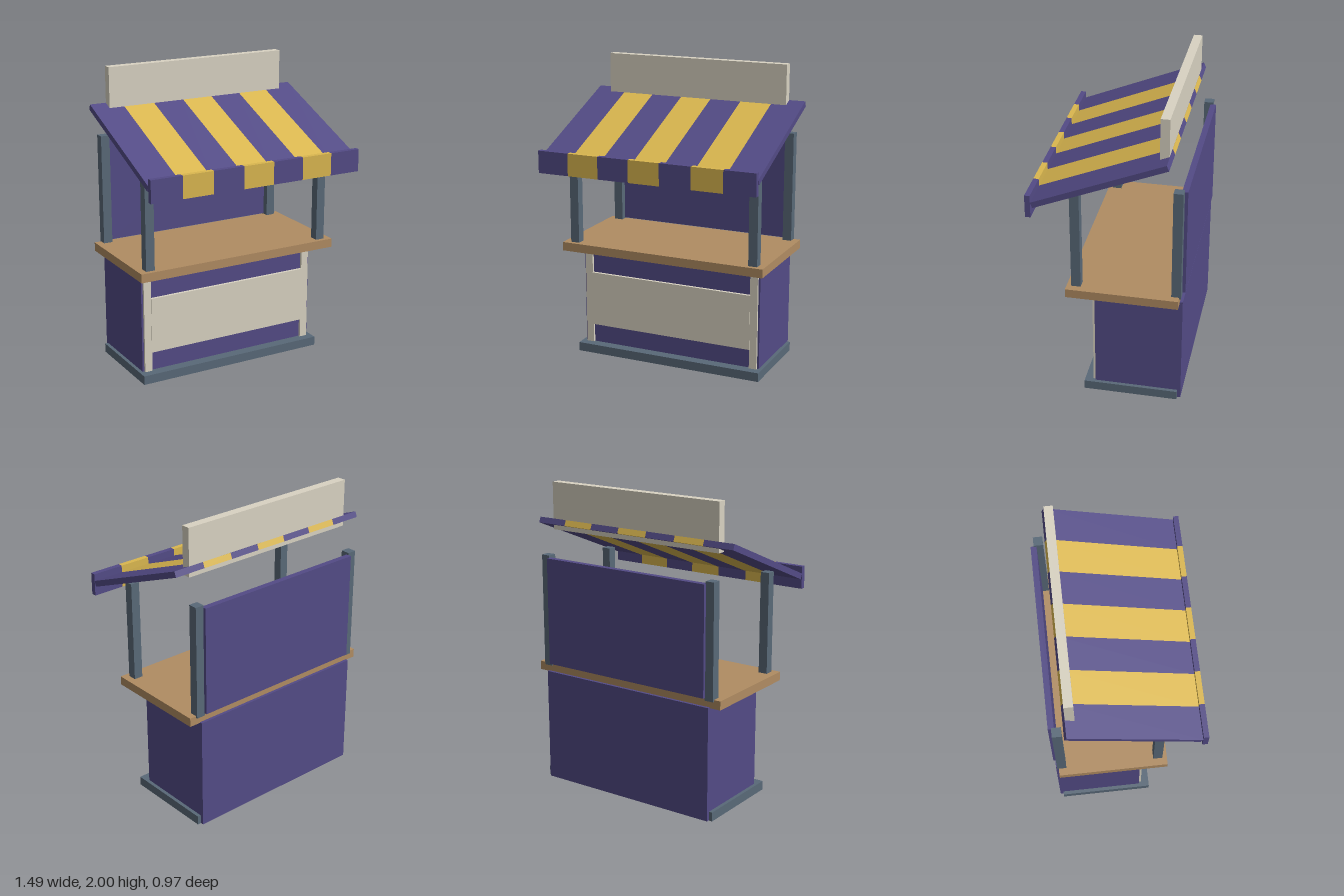
import * as THREE from 'three';

const mat = (name, color) => {
  const m = new THREE.MeshStandardMaterial({ color });
  m.name = name;
  return m;
};

export function createModel() {
  const purple = mat('purple', 0x534b86);
  const yellow = mat('yellow', 0xdab74f);
  const cream = mat('cream', 0xd9d3c2);
  const slate = mat('slate', 0x596978);
  const wood = mat('wood', 0xb08c62);

  const model = new THREE.Group();
  model.name = 'marketStall';

  // Box given by its extents on each axis
  const box = (name, material, [x0, x1], [y0, y1], [z0, z1], parent = model) => {
    const mesh = new THREE.Mesh(new THREE.BoxGeometry(x1 - x0, y1 - y0, z1 - z0), material);
    mesh.position.set((x0 + x1) / 2, (y0 + y1) / 2, (z0 + z1) / 2);
    mesh.name = name;
    parent.add(mesh);
    return mesh;
  };

  // Cabinet, plinth and counter
  box('plinth', slate, [-0.66, 0.66], [0, 0.06], [-0.45, 0.16]);
  box('cabinet', purple, [-0.637, 0.637], [0.002, 0.75], [-0.472, 0.09]);
  box('counter', wood, [-0.712, 0.712], [0.745, 0.803], [-0.453, 0.26]);

  // Front trim: wide centre board between two uprights
  box('frontBoard', cream, [-0.575, 0.575], [0.19, 0.563], [0.085, 0.11]);

  for (const [side, s] of [['left', 1], ['right', -1]]) {
    const span = (a, b) => (s > 0 ? [a, b] : [-b, -a]);
    box(side + 'FrontTrim', cream, span(0.573, 0.625), [0.06, 0.7], [0.085, 0.106]);
    box(side + 'FrontPost', slate, span(0.605, 0.665), [0.79, 1.47], [0.17, 0.23]);
    box(side + 'BackPost', slate, span(0.605, 0.665), [0.79, 1.535], [-0.463, -0.403]);
  }

  // Back wall and top sign
  box('backWall', purple, [-0.608, 0.608], [0.808, 1.52], [-0.483, -0.445]);
  box('signBoard', cream, [-0.637, 0.637], [1.69, 2], [-0.372, -0.315]);

  // Striped awning: a sloping sheet with a hanging front valance
  const awning = new THREE.Group();
  awning.name = 'awning';
  awning.position.set(0, 1.575, 0.031);
  awning.rotation.x = Math.atan2(0.337, 0.825);
  const valance = new THREE.Group();
  valance.name = 'valance';
  model.add(awning, valance);

  const count = 7;
  const width = 1.494 / count;
  for (let i = 0; i < count; i++) {
    const x0 = (i - count / 2) * width;
    const colour = i % 2 ? yellow : purple;
    box('awningStripe' + i, colour, [x0, x0 + width], [-0.019, 0.019], [-0.445, 0.445], awning);
    box('valanceStripe' + i, colour, [x0, x0 + width], [1.323, 1.47], [0.449, 0.483], valance);
  }

  return model;
}
